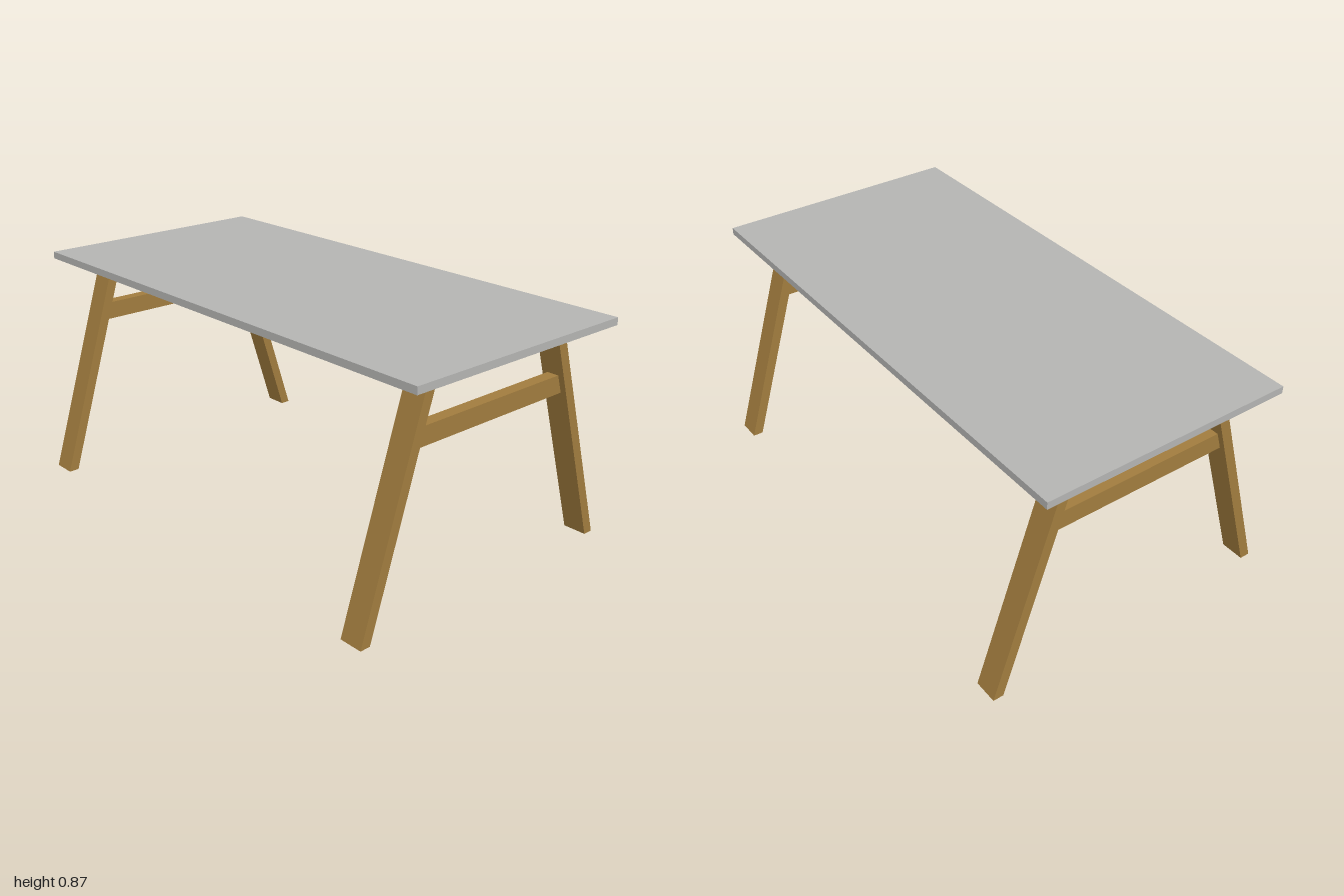
import * as THREE from 'three';

const wood = new THREE.MeshStandardMaterial({ color: 0xa17c3e });
wood.name = 'wood';
const greyTop = new THREE.MeshStandardMaterial({ color: 0xb4b4b2 });
greyTop.name = 'grey top';

// Prism with a [z, y] outline, extruded along x and centred on x = 0
function prism(name, outline, width) {
  const shape = new THREE.Shape(outline.map(([z, y]) => new THREE.Vector2(z, y)));
  const geometry = new THREE.ExtrudeGeometry(shape, { depth: width, bevelEnabled: false });
  geometry.translate(0, 0, -width / 2).rotateY(-Math.PI / 2);
  const mesh = new THREE.Mesh(geometry, wood);
  mesh.name = name;
  return mesh;
}

// Trestle: two splayed legs, a top beam and a thinner cross rail
function trestle(name, x) {
  const group = new THREE.Group();
  group.name = name;
  for (const s of [1, -1]) {
    const outline = [[0.55, 0], [0.59, 0], [0.337, 0.803], [0.297, 0.803]];
    group.add(prism(s > 0 ? 'frontLeg' : 'backLeg', outline.map(([z, y]) => [z * s, y]), 0.09));
  }
  group.add(prism('topBeam', [[-0.337, 0.803], [0.337, 0.803], [0.337, 0.841], [-0.337, 0.841]], 0.09));
  group.add(prism('crossRail', [[-0.361, 0.6], [0.361, 0.6], [0.339, 0.668], [-0.339, 0.668]], 0.045));
  group.position.x = x;
  return group;
}

export function createModel() {
  const table = new THREE.Group();
  table.name = 'table';

  // Flat slab just above the trestles
  const top = new THREE.Mesh(new THREE.BoxGeometry(2, 0.027, 0.96), greyTop);
  top.name = 'tableTop';
  top.position.y = 0.858;
  table.add(top);

  table.add(trestle('leftTrestle', 0.86), trestle('rightTrestle', -0.86));
  return table;
}
